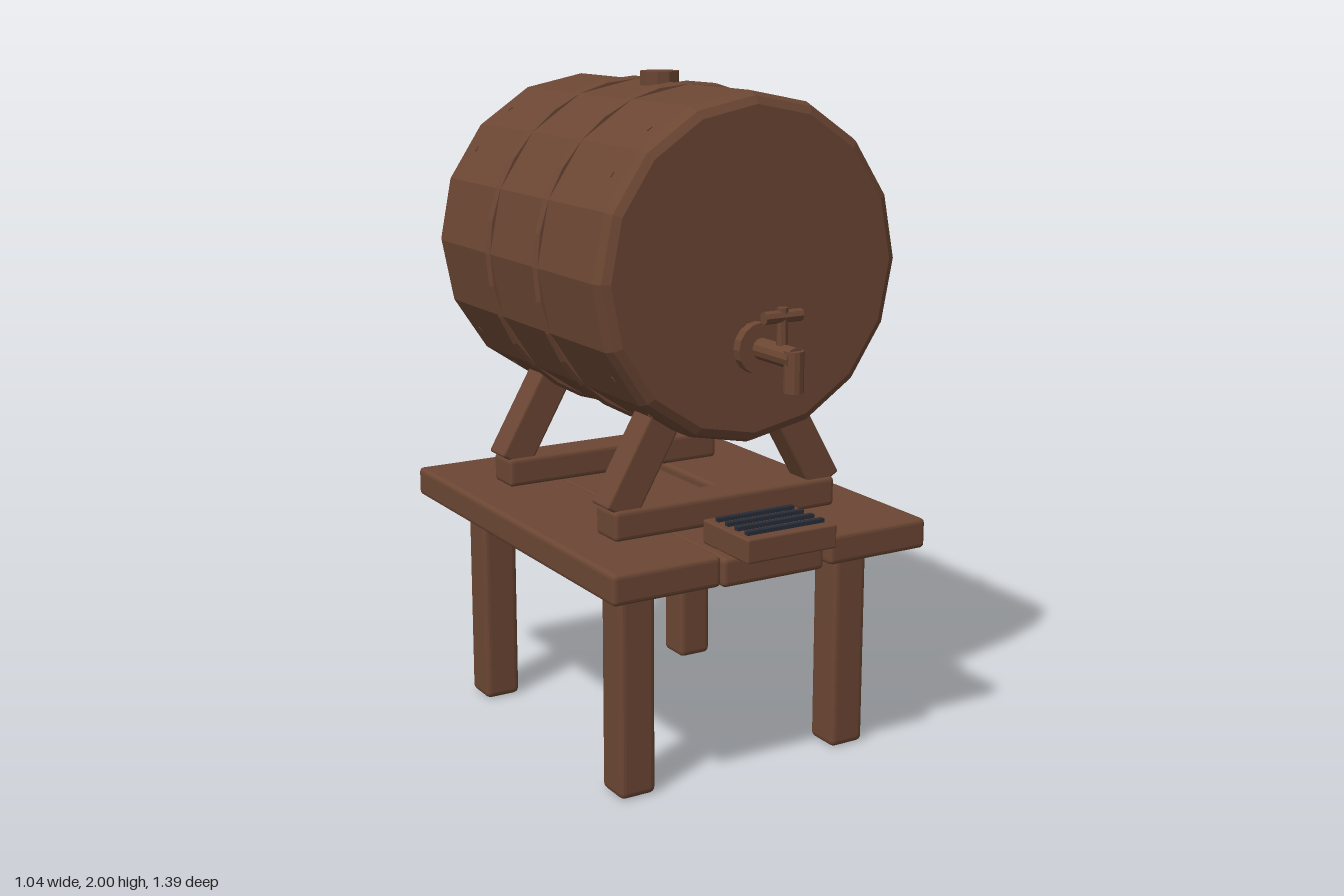
import * as THREE from 'three';
import { RoundedBoxGeometry } from 'three/addons/geometries/RoundedBoxGeometry.js';

const wood = new THREE.MeshStandardMaterial({ color: 0x6b4633 });
wood.name = 'brown wood';
wood.flatShading = true;
const iron = new THREE.MeshStandardMaterial({ color: 0x272c38 });
iron.name = 'dark iron';

export function createModel() {
  const root = new THREE.Group();
  root.name = 'barrelOnTable';

  const add = (name, geometry, x, y, z, parent = root, material = wood) => {
    const mesh = new THREE.Mesh(geometry, material);
    mesh.name = name;
    mesh.position.set(x, y, z);
    parent.add(mesh);
    return mesh;
  };
  // Beam with softened edges
  const beam = (w, h, d, r = 0.014) => new RoundedBoxGeometry(w, h, d, 2, r);
  const rod = (r, length, sides = 10) => new THREE.CylinderGeometry(r, r, length, sides);

  // Table: three planks, the middle one slightly lower
  const table = new THREE.Group();
  table.name = 'table';
  root.add(table);
  add('leftPlank', beam(0.34, 0.09, 1.29), 0.352, 0.682, -0.045, table);
  add('middlePlank', beam(0.338, 0.085, 1.29), -0.006, 0.673, -0.047, table);
  add('rightPlank', beam(0.34, 0.09, 1.29), -0.352, 0.682, -0.045, table);
  for (const x of [-0.363, 0.363])
    for (const z of [0.398, -0.48])
      add('leg', beam(0.115, 0.64, 0.115, 0.018), x, 0.32, z, table);

  // Cradle: two cross beams, each with a pair of leaning struts
  const cradle = new THREE.Group();
  cradle.name = 'cradle';
  root.add(cradle);
  for (const z of [0.29, -0.375]) {
    add('crossBeam', beam(0.75, 0.09, 0.115), 0, 0.77, z, cradle);
    for (const side of [-1, 1]) {
      const strut = add('strut', beam(0.105, 0.295, 0.096, 0.008), side * 0.277, 0.927, z, cradle);
      strut.rotation.z = side * 0.52;
    }
  }

  // Barrel lying along z
  const barrel = new THREE.Group();
  barrel.name = 'barrel';
  barrel.position.set(0, 1.48, -0.047);
  root.add(barrel);
  const profile = [[0, -0.525], [0.455, -0.525], [0.478, -0.512], [0.49, -0.482],
    [0.49, 0.482], [0.478, 0.512], [0.455, 0.525], [0, 0.525]];
  const body = new THREE.LatheGeometry(profile.map(([r, h]) => new THREE.Vector2(r, h)), 16);
  add('barrelBody', body.rotateX(Math.PI / 2), 0, 0, 0, barrel);
  for (const z of [0.153, -0.151])
    add('hoop', new THREE.TorusGeometry(0.482, 0.0165, 6, 32), 0, 0, z, barrel);

  // Small nail heads near both ends
  for (const z of [0.424, -0.42])
    for (let quarter = 0; quarter < 4; quarter++)
      for (const offset of [-0.17, 0.17]) {
        const a = Math.PI / 4 + quarter * Math.PI / 2 + offset;
        const nail = add('nail', new THREE.BoxGeometry(0.008, 0.016, 0.006),
          Math.cos(a) * 0.48, Math.sin(a) * 0.48, z, barrel);
        nail.rotation.z = a;
      }
  add('bung', rod(0.058, 0.06), 0, 0.49, 0.002, barrel);

  // Tap
  const tap = new THREE.Group();
  tap.name = 'tap';
  tap.position.set(0, 1.27, 0);
  root.add(tap);
  add('flange', rod(0.073, 0.04, 16).rotateX(Math.PI / 2), 0, 0, 0.489, tap);
  add('pipe', rod(0.031, 0.185, 12).rotateX(Math.PI / 2), 0, 0, 0.5825, tap);
  add('spout', rod(0.028, 0.115, 12), 0, -0.036, 0.666, tap);
  add('stem', rod(0.016, 0.125, 8), 0, 0.068, 0.608, tap);
  add('handle', rod(0.018, 0.12, 8).rotateZ(Math.PI / 2), 0, 0.106, 0.608, tap);

  // Drip tray with grille bars
  const tray = new THREE.Group();
  tray.name = 'dripTray';
  root.add(tray);
  add('trayBase', beam(0.296, 0.07, 0.232, 0.006), 0, 0.752, 0.56, tray);
  for (let i = 0; i < 4; i++)
    add('grilleBar', new THREE.BoxGeometry(0.255, 0.02, 0.017), 0, 0.788, 0.635 - i * 0.0495, tray, iron);

  return root;
}
